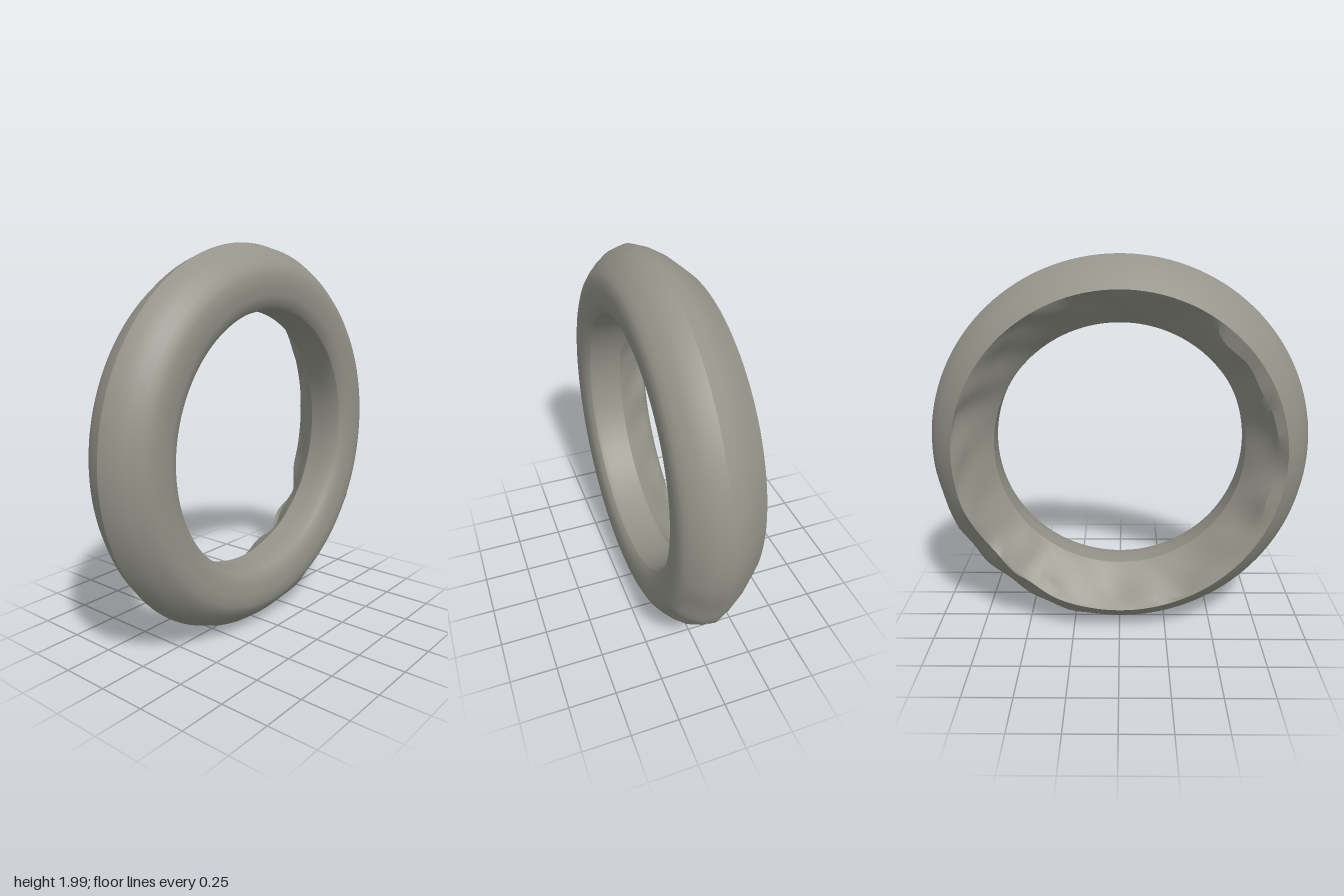
import * as THREE from 'three';
import { toCreasedNormals } from 'three/addons/utils/BufferGeometryUtils.js';

// Smooth bump of height 1 around an angle
function bump(angle, centre, width) {
  const d = Math.atan2(Math.sin(angle - centre), Math.cos(angle - centre)) / width;
  return Math.exp(-d * d);
}

export function createModel() {
  const model = new THREE.Group();
  const stone = new THREE.MeshStandardMaterial({ color: 0x94948a });
  stone.name = 'warm grey';

  // Closed cross-section (radius, depth): outer wall, front face, hole wall, hollow back
  const section = [
    [0.847, -0.208], [0.885, -0.165], [0.94, -0.10], [0.975, -0.04], [0.997, 0.025],
    [0.978, 0.09], [0.945, 0.137], [0.908, 0.175], [0.88, 0.197], [0.85, 0.21],
    [0.80, 0.212], [0.74, 0.207], [0.70, 0.196], [0.678, 0.178], [0.667, 0.15],
    [0.664, 0.08], [0.664, 0.0], [0.70, -0.045], [0.755, -0.10], [0.80, -0.155],
    [0.825, -0.185], [0.847, -0.208],
  ].map(([r, z]) => new THREE.Vector2(r, z));
  const ring = new THREE.LatheGeometry(section, 128);
  ring.rotateX(Math.PI / 2);

  // Worn dents: low on the left side, and across the hollow back
  const p = ring.attributes.position;
  for (let i = 0; i < p.count; i++) {
    let r = Math.hypot(p.getX(i), p.getY(i));
    let z = p.getZ(i);
    const a = Math.atan2(p.getY(i), p.getX(i));
    const back = THREE.MathUtils.smoothstep(-z, -0.03, 0.2);
    const worn = bump(a, -0.72, 0.4);
    if (r > 0.84 && z < 0.19) {
      r -= worn * (0.01 + 0.01 * Math.sin(a * 19 + z * 14)) * (1 - 0.4 * back);
      r += 0.015 * (bump(a, -1.27, 0.09) + bump(a, -0.53, 0.09)) * (1 - back);
    } else if (z < -0.01) {
      // lumpy hollow, with a thicker patch on the upper right side
      r += back * (0.012 * Math.sin(a * 11 + z * 9) + 0.008 * Math.sin(a * 17 - z * 20));
      r -= back * (0.05 * bump(a, 2.55, 0.35) + 0.025 * bump(a, -2.7, 0.4));
    }
    z += back * (0.055 * bump(a, -0.62, 0.14) + 0.04 * bump(a, -0.95, 0.1));
    p.setXYZ(i, r * Math.cos(a), r * Math.sin(a), z);
  }

  const mesh = new THREE.Mesh(toCreasedNormals(ring, 0.5), stone);
  mesh.name = 'ring';
  mesh.position.y = 1;
  model.add(mesh);
  return model;
}
